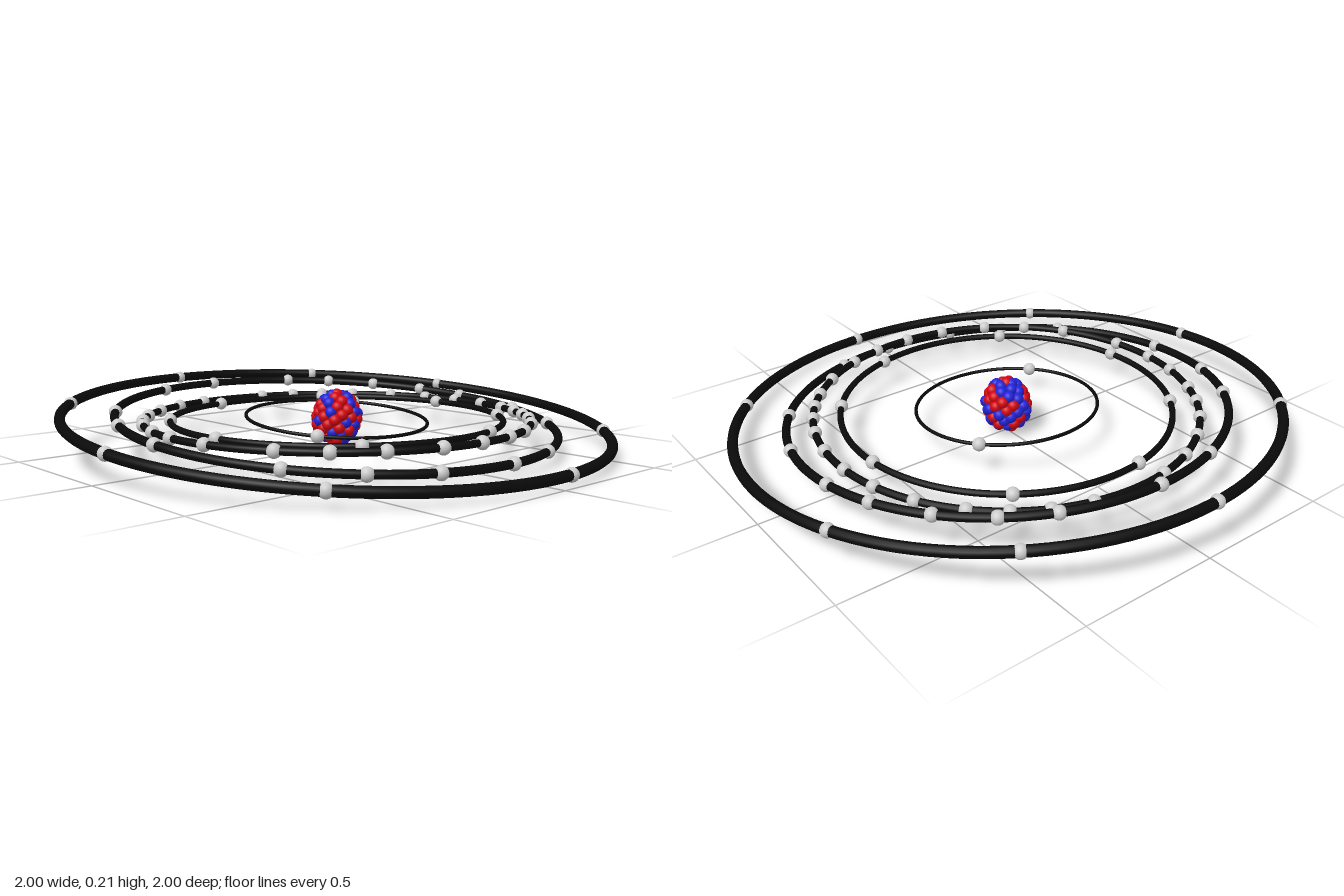
import * as THREE from 'three';

const CENTRE_Y = 0.107;
const TILT = -0.0735;
const NUCLEON_R = 0.022;
const ELECTRON_R = 0.024;

// Each shell: ring radius, whether it is tilted, electron angles in degrees from +x towards +z
const SHELLS = [
  { radius: 0.332, tilted: true, angles: [53.5, 234] },
  { radius: 0.603, tilted: false, angles: [-95, -54, -16, 35, 82.4, 125.7, 171.4, 216] },
  {
    radius: 0.7, tilted: false,
    angles: [-93, -81, -70, -61.5, -54, -46, -35.6, -22, -11, 1.5, 14.6, 30, 44, 58, 78.5,
      92.6, 104, 117, 126, 136, 147, 159, 171, 195, 206.5, 217, 228, 242, 255],
  },
  {
    radius: 0.797, tilted: true,
    angles: [-96.5, -75, -54, -18.7, -1.5, 19.5, 36, 54, 88, 109.5, 126, 161.7, 181,
      206.5, 219.6, 234, 249.5],
  },
  { radius: 0.981, tilted: true, angles: [-110, -47.6, -3.8, 44, 87, 133.5, 178, 215.5] },
];

const material = (color) => new THREE.MeshStandardMaterial({ color });

function seeded(seed) {
  return () => {
    seed = (seed * 16807) % 2147483647;
    return seed / 2147483647;
  };
}

// Packed ball of red and blue spheres
function createNucleus() {
  const nucleus = new THREE.Group();
  nucleus.name = 'nucleus';
  const geometry = new THREE.SphereGeometry(NUCLEON_R, 16, 12);
  const red = material(0xd40612);
  const blue = material(0x2222d8);
  const random = seeded(54);

  const addLayer = (count, width, height, redShare, jitter) => {
    for (let i = 0; i < count; i++) {
      const y = 1 - (2 * i) / (count - 1);
      const ring = Math.sqrt(Math.max(0, 1 - y * y));
      const a = i * Math.PI * (3 - Math.sqrt(5));
      const isRed = random() < redShare;
      const depth = 1 - jitter * random() * ring;
      const nucleon = new THREE.Mesh(geometry, isRed ? red : blue);
      nucleon.name = isRed ? 'proton' : 'neutron';
      nucleon.position.set(
        Math.cos(a) * ring * width * depth, y * height * depth, Math.sin(a) * ring * width * depth);
      nucleus.add(nucleon);
    }
  };
  addLayer(76, 0.078, 0.085, 0.62, 0.1);
  addLayer(30, 0.053, 0.055, 0.25, 0);
  return nucleus;
}

// Orbit ring with its electrons; thickness grows with the radius
function createShell({ radius, tilted, angles }, index) {
  const shell = new THREE.Group();
  shell.name = `shell${index + 1}`;

  const ring = new THREE.Mesh(
    new THREE.TorusGeometry(radius, radius * 0.0187, 12, 128), material(0x0a0a0a));
  ring.name = 'orbitRing';
  ring.rotation.x = Math.PI / 2;
  shell.add(ring);

  const geometry = new THREE.SphereGeometry(ELECTRON_R, 20, 14);
  const grey = material(0xcccccc);
  for (const degrees of angles) {
    const a = THREE.MathUtils.degToRad(degrees);
    const electron = new THREE.Mesh(geometry, grey);
    electron.name = 'electron';
    electron.position.set(Math.cos(a) * radius, 0, Math.sin(a) * radius);
    shell.add(electron);
  }
  if (tilted) shell.rotation.z = TILT;
  return shell;
}

export function createModel() {
  const atom = new THREE.Group();
  atom.name = 'atom';
  atom.add(createNucleus(), ...SHELLS.map(createShell));
  for (const part of atom.children) part.position.y = CENTRE_Y;
  return atom;
}
